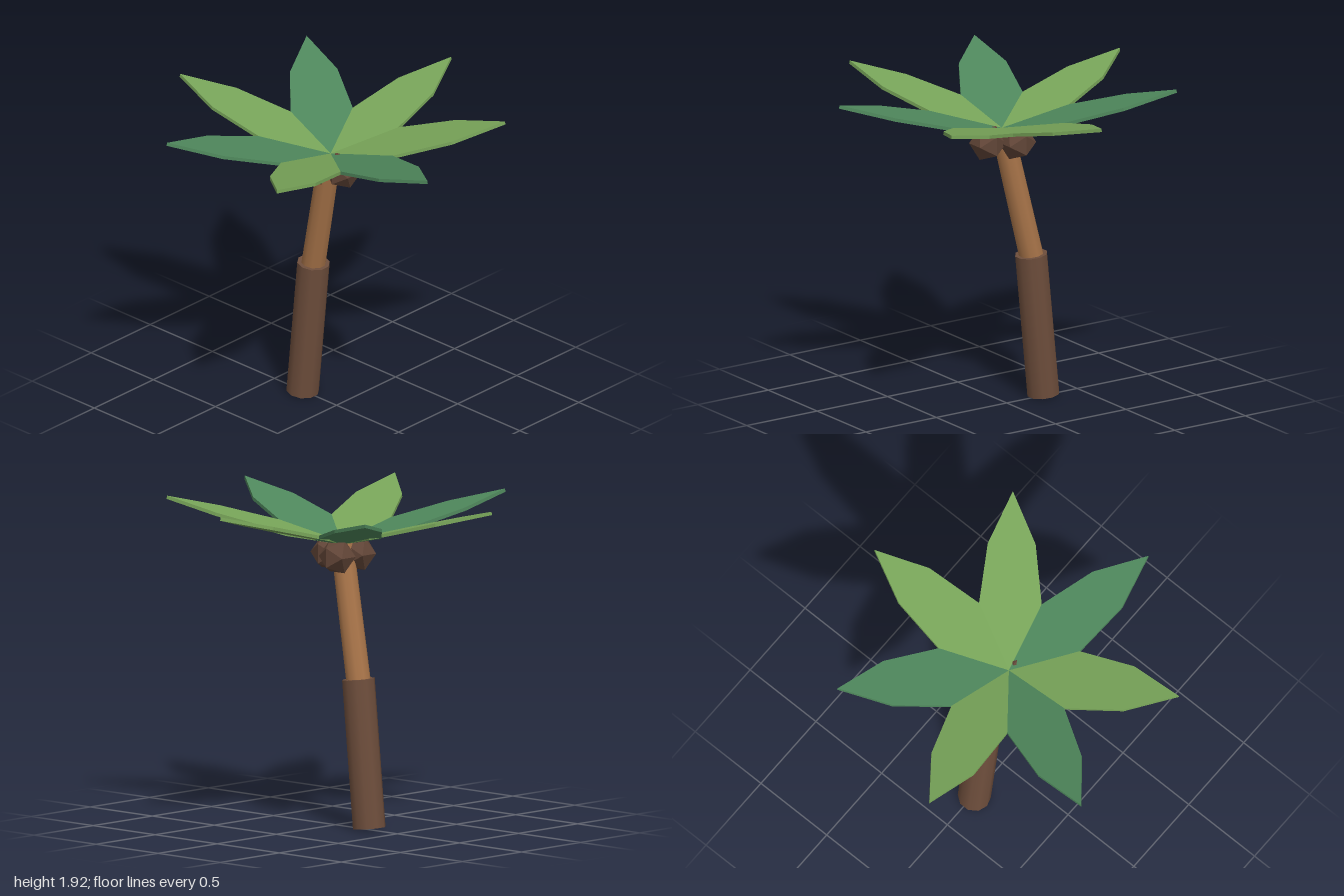
import * as THREE from 'three';

const material = (color, flatShading = false) => new THREE.MeshStandardMaterial({ color, flatShading });

// Tapered cylinder running between two points
function segment(name, from, to, bottomRadius, topRadius, sides, color) {
  const axis = to.clone().sub(from);
  const geometry = new THREE.CylinderGeometry(topRadius, bottomRadius, axis.length(), sides);
  const mesh = new THREE.Mesh(geometry, material(color));
  mesh.name = name;
  mesh.position.copy(from).add(to).multiplyScalar(0.5);
  mesh.quaternion.setFromUnitVectors(new THREE.Vector3(0, 1, 0), axis.normalize());
  return mesh;
}

// Flat pointed leaf slab, pointing to -z and tilted upwards
function leafGeometry() {
  const tilt = Math.atan(0.25);
  const k = 1 / Math.cos(tilt);
  const thickness = 0.02;
  const outline = [[0, 0], [0.193, 0.3], [0.14, 0.72], [0, 1.02], [-0.14, 0.72], [-0.193, 0.3]];
  const shape = new THREE.Shape(outline.map(([x, y]) => new THREE.Vector2(x, y * k)));
  const geometry = new THREE.ExtrudeGeometry(shape, { depth: thickness, bevelEnabled: false });
  geometry.translate(0, 0, -thickness);
  geometry.rotateX(-Math.PI / 2);
  geometry.rotateX(tilt);
  return geometry;
}

export function createModel() {
  const tree = new THREE.Group();
  tree.name = 'palmTree';

  // Leaning trunk in two sections
  tree.add(segment('lowerTrunk', new THREE.Vector3(-0.265, 0.01, 0.008),
    new THREE.Vector3(-0.178, 0.88, 0.008), 0.097, 0.097, 10, 0x6e4e3c));
  tree.add(segment('upperTrunk', new THREE.Vector3(-0.188, 0.83, 0.005),
    new THREE.Vector3(-0.004, 1.66, 0.052), 0.073, 0.068, 10, 0xa87449));

  // Ring of three coconuts under the crown
  const coconutGeometry = new THREE.IcosahedronGeometry(0.11, 0);
  const coconutMaterial = material(0x614537, true);
  for (let i = 0; i < 3; i++) {
    const angle = (i * Math.PI * 2) / 3;
    const coconut = new THREE.Mesh(coconutGeometry, coconutMaterial);
    coconut.name = 'coconut';
    coconut.position.set(0.1 * Math.cos(angle), 1.595, 0.05 + 0.1 * Math.sin(angle));
    tree.add(coconut);
  }

  // Crown of seven leaves in two greens, clockwise from the back
  const crown = new THREE.Group();
  crown.name = 'crown';
  crown.position.set(0, 1.67, 0.05);
  const light = material(0x78a559, true);
  const dark = material(0x4f885c, true);
  const geometry = leafGeometry();
  [light, light, dark, light, dark, light, dark].forEach((green, i) => {
    const leaf = new THREE.Mesh(geometry, green);
    leaf.name = 'leaf';
    leaf.rotation.y = (-i * Math.PI * 2) / 7;
    crown.add(leaf);
  });
  tree.add(crown);

  return tree;
}
